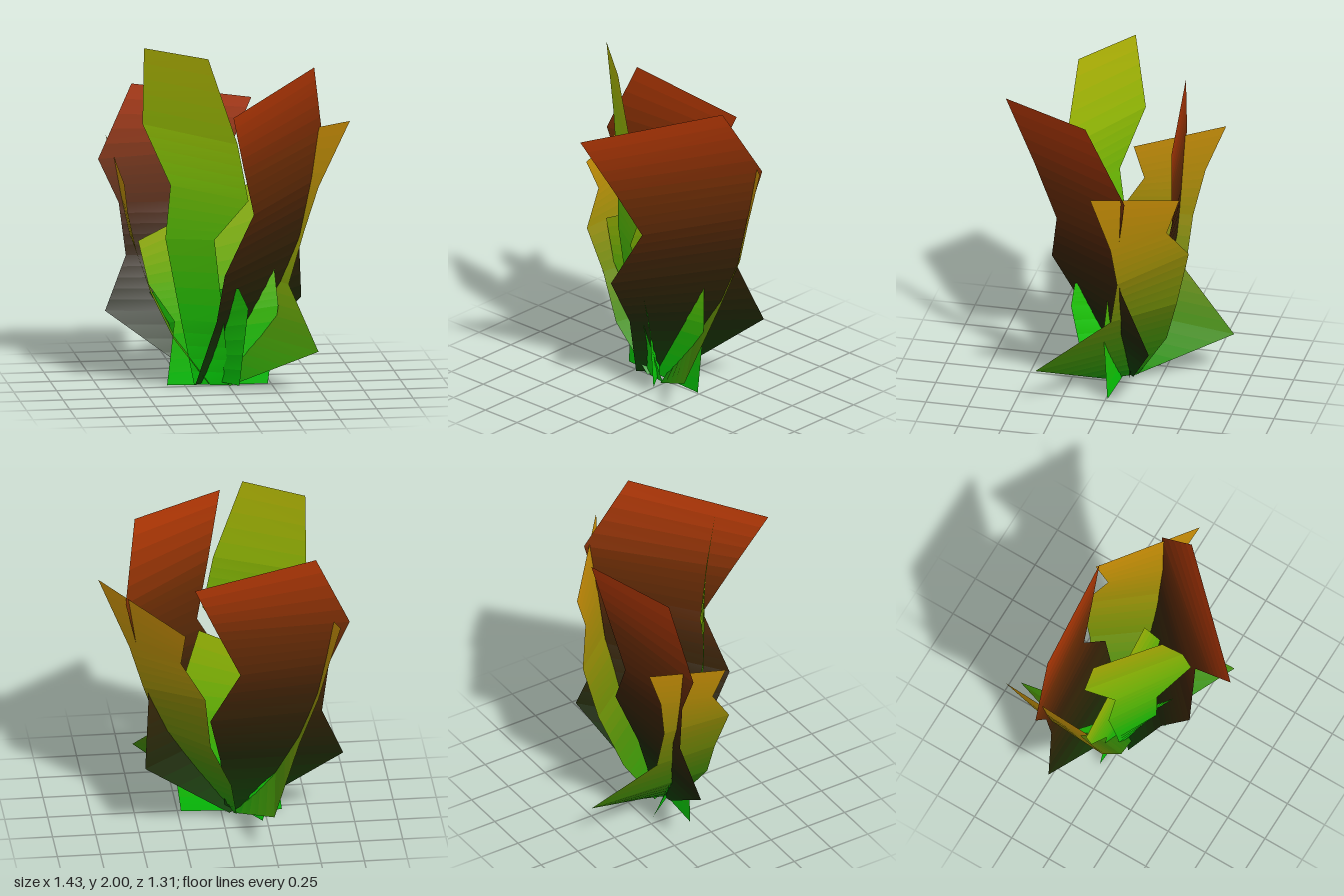
import * as THREE from 'three';

const BANDS = 5; // colour bands per blade segment

// Gradients from root to tip, spread over the height of each blade
const RED = [0x0a4204, 0x1c2406, 0x3a2006, 0x6c2c04, 0xb83804];
const LIME = [0x00cc08, 0x20c004, 0x5cbc04, 0x90bc04, 0xb4b404];
const OLIVE = [0x069806, 0x4a8a06, 0x7e8a06, 0xb08a06, 0xcc8c06];

function gradient(stops, t) {
  const f = Math.min(Math.max(t, 0), 0.999) * (stops.length - 1);
  const i = Math.floor(f);
  return new THREE.Color(stops[i]).lerp(new THREE.Color(stops[i + 1]), f - i);
}

// One coloured strip between two pairs of edge points
function strip(name, corners, color) {
  const geometry = new THREE.BufferGeometry().setFromPoints(corners);
  geometry.setIndex([0, 1, 2, 0, 2, 3]);
  geometry.computeVertexNormals();
  const mesh = new THREE.Mesh(
    geometry,
    new THREE.MeshStandardMaterial({ color, side: THREE.DoubleSide })
  );
  mesh.name = name;
  return mesh;
}

// A blade is a list of cross-sections, each [left point, right point], root first
function blade(name, sections, stops, height) {
  const group = new THREE.Group();
  group.name = name;
  const rows = sections.map(([l, r]) => [new THREE.Vector3(...l), new THREE.Vector3(...r)]);
  for (let i = 0; i < rows.length - 1; i++) {
    const at = (side, k) => rows[i][side].clone().lerp(rows[i + 1][side], k / BANDS);
    for (let k = 0; k < BANDS; k++) {
      const corners = [at(0, k), at(1, k), at(1, k + 1), at(0, k + 1)];
      const y = corners.reduce((sum, p) => sum + p.y, 0) / 4;
      group.add(strip(name + 'Band', corners, gradient(stops, y / height)));
    }
  }
  return group;
}

export function createModel() {
  const plant = new THREE.Group();
  plant.name = 'leafyPlant';

  // Tallest leaf, facing the front
  plant.add(blade('tallLeaf', [
    [[-0.2, 0.01, 0.0], [0.0, 0.01, 0.04]],
    [[-0.28, 0.4, 0.02], [-0.05, 0.4, 0.15]],
    [[-0.37, 0.88, 0.02], [-0.11, 0.9, 0.19]],
    [[-0.345, 1.2, 0.05], [0.07, 1.15, 0.31]],
    [[-0.49, 1.54, -0.07], [0.01, 1.48, 0.29]],
    [[-0.49, 2.0, -0.01], [-0.155, 1.98, 0.25]],
  ], LIME, 2));

  // Broad red leaf at the front right
  plant.add(blade('frontRedLeaf', [
    [[-0.2, 0.02, 0.05], [-0.04, 0.02, -0.1]],
    [[-0.1, 0.42, 0.21], [0.47, 0.44, -0.31]],
    [[-0.08, 0.73, 0.39], [0.43, 0.82, -0.13]],
    [[0.1, 1.07, 0.32], [0.5, 1.15, -0.14]],
    [[0.02, 1.37, 0.47], [0.57, 1.45, -0.19]],
    [[-0.07, 1.72, 0.66], [0.49, 1.87, 0.06]],
  ], RED, 1.8));

  // Broad red leaf at the back left
  plant.add(blade('backRedLeaf', [
    [[-0.14, 0.02, -0.05], [-0.02, 0.02, -0.08]],
    [[-0.69, 0.42, -0.19], [0.02, 0.4, -0.17]],
    [[-0.56, 0.73, -0.25], [0.09, 0.71, -0.28]],
    [[-0.6, 1.04, -0.26], [-0.08, 1.02, -0.32]],
    [[-0.72, 1.3, -0.26], [0.06, 1.32, -0.35]],
    [[-0.52, 1.73, -0.3], [0.19, 1.61, -0.38]],
  ], RED, 1.7));

  // Olive leaf on the right, flared near its root
  plant.add(blade('rightOliveLeaf', [
    [[0.0, 0.01, 0.06], [-0.08, 0.02, -0.12]],
    [[0.47, 0.26, 0.36], [-0.03, 0.3, -0.3]],
    [[0.36, 0.57, -0.06], [0.1, 0.6, -0.39]],
    [[0.46, 0.87, -0.12], [0.14, 0.95, -0.47]],
    [[0.54, 1.13, -0.1], [0.27, 1.14, -0.37]],
    [[0.71, 1.53, -0.02], [0.25, 1.35, -0.44]],
  ], OLIVE, 1.5));

  // Olive leaf on the left, flared towards the back
  plant.add(blade('leftOliveLeaf', [
    [[-0.12, 0.02, 0.04], [-0.06, 0.02, -0.1]],
    [[-0.33, 0.3, 0.08], [-0.24, 0.26, -0.65]],
    [[-0.46, 0.57, 0.05], [-0.42, 0.55, -0.32]],
    [[-0.55, 0.83, 0.09], [-0.53, 0.85, -0.34]],
    [[-0.58, 1.03, -0.04], [-0.59, 1.12, -0.4]],
    [[-0.61, 1.21, 0.03], [-0.64, 1.39, -0.51]],
  ], OLIVE, 1.4));

  // Wide middle leaf, standing flat behind the tallest one
  plant.add(blade('middleLeaf', [
    [[-0.35, 0.0, -0.05], [0.23, 0.0, -0.01]],
    [[-0.31, 0.38, -0.03], [0.29, 0.46, 0.0]],
    [[-0.46, 0.6, -0.04], [0.27, 0.67, -0.02]],
    [[-0.52, 0.86, -0.04], [0.13, 1.18, -0.04]],
  ], LIME, 1.2));

  // Low leaf crossing the others diagonally
  plant.add(blade('lowLeaf', [
    [[-0.22, 0.02, -0.22], [0.04, 0.03, 0.16]],
    [[-0.33, 0.35, -0.13], [0.08, 0.5, 0.24]],
    [[-0.43, 0.52, -0.2], [0.025, 0.62, 0.23]],
  ], LIME, 2.2));

  return plant;
}
